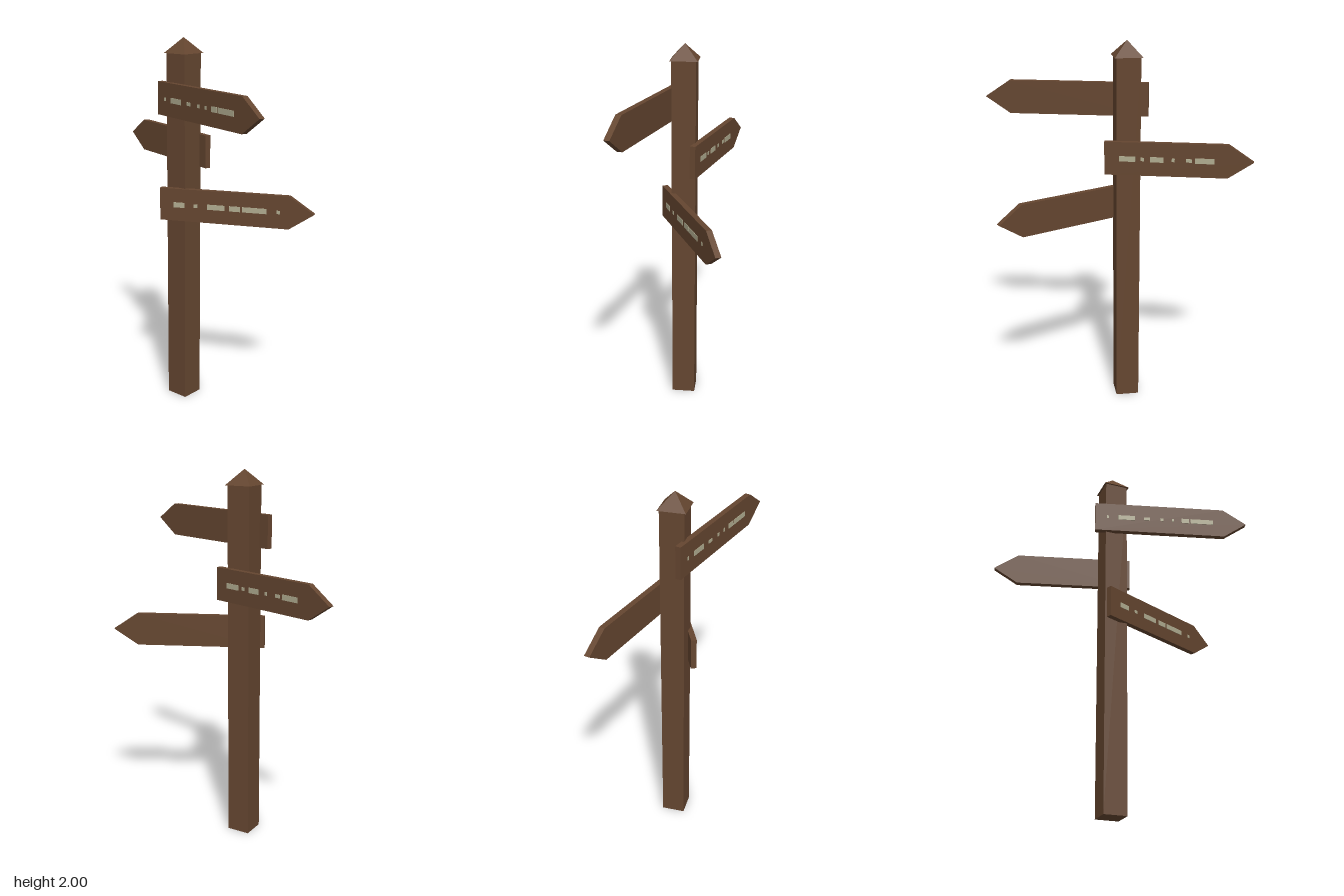
import * as THREE from 'three';

const wood = new THREE.MeshStandardMaterial({ color: 0x654630 });
wood.name = 'brownWood';
const paint = new THREE.MeshStandardMaterial({ color: 0xb0ac90 });
paint.name = 'fadedPaint';

const POST_X = -0.053, POST_Z = -0.013;
const HEIGHT = 0.175, THICK = 0.03, TIP = 0.13;

function addMesh(parent, name, geometry, material, x, y, z) {
  const mesh = new THREE.Mesh(geometry, material);
  mesh.name = name;
  mesh.position.set(x, y, z);
  parent.add(mesh);
  return mesh;
}

// Arrow-shaped board pointing along its own +x, painted on its +z face
function makeSign({ name, length, position, angle, dashes }) {
  const sign = new THREE.Group();
  sign.name = name;
  const a = length / 2, h = HEIGHT / 2;
  const outline = new THREE.Shape([
    [-a, -h], [a - TIP, -h], [a, 0], [a - TIP, h], [-a, h],
  ].map(([x, y]) => new THREE.Vector2(x, y)));
  const board = new THREE.ExtrudeGeometry(outline, { depth: THICK, bevelEnabled: false });
  addMesh(sign, name + 'Board', board, wood, 0, 0, -THICK / 2);

  // Plain painted dashes, given as start and end fractions of the board
  for (const [start, end] of dashes) {
    const width = (end - start) * length;
    const height = width > 0.04 ? 0.028 : 0.018;
    const dash = new THREE.BoxGeometry(width, height, 0.003);
    addMesh(sign, 'paintedDash', dash, paint, -a + (start + end) / 2 * length, 0, THICK / 2 + 0.001);
  }
  sign.position.set(...position);
  sign.rotation.y = THREE.MathUtils.degToRad(angle);
  return sign;
}

const SIGNS = [
  {
    name: 'upperSign', length: 0.865, position: [0.242, 1.684, 0.147], angle: -15,
    dashes: [[0.075, 0.09], [0.15, 0.26], [0.32, 0.36], [0.43, 0.45], [0.505, 0.52], [0.57, 0.62], [0.63, 0.78]],
  },
  {
    name: 'middleSign', length: 0.765, position: [-0.299, 1.409, -0.165], angle: 165,
    dashes: [[0.1, 0.21], [0.245, 0.27], [0.31, 0.4], [0.455, 0.475], [0.55, 0.59], [0.61, 0.74]],
  },
  {
    name: 'lowerSign', length: 0.826, position: [0.26, 1.131, -0.072], angle: 25,
    dashes: [[0.09, 0.165], [0.225, 0.25], [0.315, 0.43], [0.46, 0.53], [0.545, 0.7], [0.765, 0.785]],
  },
];

export function createModel() {
  const model = new THREE.Group();
  model.name = 'signpost';

  // Square post with a slightly overhanging pyramid cap
  addMesh(model, 'post', new THREE.BoxGeometry(0.126, 1.92, 0.126), wood, POST_X, 0.96, POST_Z);
  const capGeometry = new THREE.ConeGeometry(0.0725 * Math.SQRT2, 0.08, 4).rotateY(Math.PI / 4).toNonIndexed();
  capGeometry.computeVertexNormals();
  addMesh(model, 'postCap', capGeometry, wood, POST_X, 1.96, POST_Z);

  for (const spec of SIGNS) model.add(makeSign(spec));
  return model;
}
